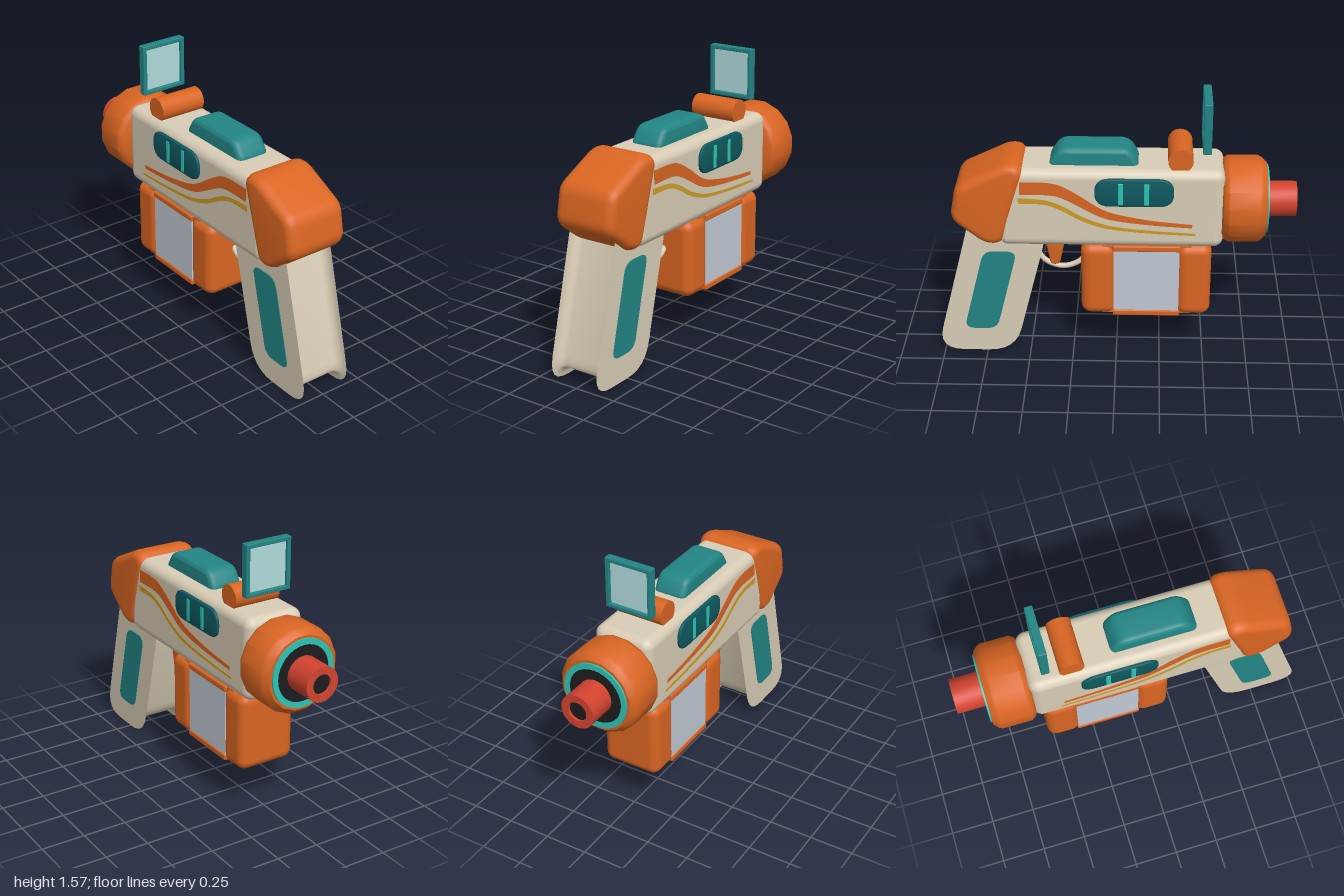
import * as THREE from 'three';
import { toCreasedNormals } from 'three/addons/utils/BufferGeometryUtils.js';
import { RoundedBoxGeometry } from 'three/addons/geometries/RoundedBoxGeometry.js';

const mat = (name, color) => {
  const m = new THREE.MeshStandardMaterial({ color });
  m.name = name;
  return m;
};

// Polygon of [z, y] corners, each rounded by r
function roundedShape(pts, r) {
  const s = new THREE.Shape();
  const v = pts.map(p => new THREE.Vector2(...p));
  v.forEach((p, i) => {
    const prev = v[(i + v.length - 1) % v.length], next = v[(i + 1) % v.length];
    const cut = q => p.clone().add(q.clone().sub(p).setLength(Math.min(r, p.distanceTo(q) * 0.45)));
    const a = cut(prev), b = cut(next);
    if (i === 0) s.moveTo(a.x, a.y); else s.lineTo(a.x, a.y);
    s.quadraticCurveTo(p.x, p.y, b.x, b.y);
  });
  return s;
}

// Side profile extruded across x, centred on x = 0
function slab(shape, halfWidth, bevelThickness = 0, bevelSize = 0) {
  const depth = 2 * (halfWidth - bevelThickness);
  const g = new THREE.ExtrudeGeometry(shape, {
    depth, bevelEnabled: bevelThickness > 0, bevelThickness, bevelSize,
    bevelSegments: 5, curveSegments: 6,
  });
  g.translate(0, 0, -depth / 2);
  g.rotateY(-Math.PI / 2);
  return toCreasedNormals(g, 0.7);
}

// Curved stripe from rows of [z, lower y, upper y]
function stripeShape(rows) {
  const edge = k => new THREE.SplineCurve(rows.map(r => new THREE.Vector2(r[0], r[k]))).getPoints(30);
  return new THREE.Shape([...edge(1), ...edge(2).reverse()]);
}

export function createModel() {
  const group = new THREE.Group();
  const cream = mat('cream', 0xd8cdb6), orange = mat('orange', 0xd96522);
  const teal = mat('teal', 0x238585), darkTeal = mat('darkTeal', 0x0e595f);
  const aqua = mat('aqua', 0x2fc4b5), red = mat('red', 0xd2432f);
  const gold = mat('gold', 0xcf9c28), grey = mat('grey', 0xc2cad4);
  const glass = mat('glass', 0xb0dadb), black = mat('black', 0x1d1d1f);

  const add = (name, geo, material, x = 0, y = 0, z = 0) => {
    const m = new THREE.Mesh(geo, material);
    m.name = name;
    m.position.set(x, y, z);
    group.add(m);
    return m;
  };
  const both = (name, geo, material, x, y = 0, z = 0) => {
    add(name + 'Left', geo, material, x, y, z);
    add(name + 'Right', geo, material, -x, y, z);
  };
  const roundBox = (w, h, d, r) => new RoundedBoxGeometry(w, h, d, 4, r);

  // Main body and rear cap
  add('body', roundBox(0.356, 0.475, 1.255, 0.055), cream, 0, 0.9475, 0.0325);
  const cap = [[0.545, 1.165], [0.6, 1.167], [0.848, 1.048], [0.878, 0.89], [0.725, 0.768], [0.668, 0.762]];
  add('rearCap', slab(roundedShape(cap, 0.03), 0.188, 0.06, 0.045), orange);

  // Grip with flared side edges and inlaid panels
  const grip = [[0.79, 0.99], [1.046, 0], [0.588, 0], [0.375, 0.84]];
  add('grip', slab(roundedShape(grip, 0.155), 0.15, 0.05, -0.063), cream);
  const inlay = [[0.75, 0.665], [0.56, 0.665], [0.69, 0.152], [0.88, 0.152]];
  both('gripPanel', slab(roundedShape(inlay, 0.06), 0.003), teal, 0.151);

  // Trigger and guard
  const trigger = [[0.41, 0.75], [0.37, 0.535], [0.335, 0.535], [0.29, 0.75]];
  add('trigger', slab(roundedShape(trigger, 0.015), 0.05, 0.012, 0.01), orange);
  const guard = new THREE.CatmullRomCurve3(
    [[0.47, 0.68], [0.45, 0.58], [0.4, 0.52], [0.31, 0.49], [0.22, 0.52], [0.17, 0.58], [0.15, 0.68]]
      .map(([z, y]) => new THREE.Vector3(0, y, z)));
  add('triggerGuard', new THREE.TubeGeometry(guard, 32, 0.016, 10), cream);

  // Power pack: two rounded blocks around a recessed panel
  add('packRear', roundBox(0.35, 0.455, 0.195, 0.055), orange, 0, 0.4925, 0.1025);
  add('packFront', roundBox(0.35, 0.455, 0.195, 0.055), orange, 0, 0.4925, -0.4375);
  add('packCore', new THREE.BoxGeometry(0.31, 0.44, 0.5), orange, 0, 0.495, -0.17);
  add('packLowerLedge', roundBox(0.34, 0.035, 0.38, 0.008), orange, 0, 0.28, -0.17);
  add('packUpperLedge', roundBox(0.34, 0.035, 0.38, 0.008), orange, 0, 0.7, -0.17);
  both('packPanel', new THREE.BoxGeometry(0.009, 0.39, 0.37), grey, 0.159, 0.49, -0.17);

  // Muzzle: rounded collar, rim, dark face and barrel
  const lathe = (pts, n, start = 0) => {
    const g = new THREE.LatheGeometry(pts.map(p => new THREE.Vector2(...p)), n, start);
    g.rotateX(-Math.PI / 2);
    return toCreasedNormals(g, 0.6);
  };
  const cy = 0.945;
  add('muzzleCollar', lathe([[0, 0.585], [0.215, 0.585], [0.23, 0.595], [0.245, 0.62],
    [0.245, 0.785], [0.235, 0.805], [0.21, 0.83], [0, 0.83]], 16, Math.PI / 16), orange, 0, cy);
  add('muzzleRim', lathe([[0.193, 0.82], [0.193, 0.84], [0.16, 0.84], [0.16, 0.82]], 32), aqua, 0, cy);
  add('muzzleFace', lathe([[0.165, 0.82], [0.165, 0.836], [0, 0.836]], 32), black, 0, cy);
  add('barrel', lathe([[0.099, 0.82], [0.099, 1], [0.056, 1], [0.056, 0.96]], 24), red, 0, cy);
  add('barrelBore', lathe([[0.058, 0.97], [0.058, 0.985], [0, 0.985]], 24), black, 0, cy);

  // Top rail, sight hinge and sight
  const rail = [[0.35, 1.17], [0.295, 1.252], [-0.052, 1.252], [-0.1, 1.17]];
  add('topRail', slab(roundedShape(rail, 0.03), 0.097, 0.035, 0.03), teal);
  const hinge = toCreasedNormals(new THREE.CylinderGeometry(0.069, 0.069, 0.28, 24), 0.6);
  hinge.rotateZ(Math.PI / 2);
  add('sightHinge', hinge, orange, 0, 1.233, -0.35);
  both('sightFrameSide', roundBox(0.024, 0.295, 0.046, 0.005), teal, 0.128, 1.4225, -0.492);
  for (const [name, y] of [['sightFrameTop', 1.558], ['sightFrameBottom', 1.287]])
    add(name, roundBox(0.28, 0.024, 0.046, 0.005), teal, 0, y, -0.492);
  add('sightGlass', new THREE.BoxGeometry(0.24, 0.256, 0.012), glass, 0, 1.4225, -0.492);

  // Side vents with glowing bars
  const vent = [[0.11, 0.988], [0.11, 1.137], [-0.307, 1.137], [-0.307, 0.988]];
  both('sideVent', slab(roundedShape(vent, 0.075), 0.012, 0.008, 0.009), darkTeal, 0.181);
  for (const [name, z] of [['rearVentBar', -0.024], ['frontVentBar', -0.166]])
    both(name, roundBox(0.008, 0.13, 0.028, 0.0035), aqua, 0.1925, 1.057, z);

  // Painted stripes
  const upper = [[0.53, 1.04, 1.117], [0.4, 1.042, 1.117], [0.31, 1.028, 1.1], [0.2, 0.97, 1.037],
    [0.1, 0.915, 0.968], [0, 0.885, 0.927], [-0.2, 0.86, 0.888], [-0.42, 0.845, 0.866]];
  const lower = [[0.54, 0.985, 1.02], [0.4, 0.983, 1.01], [0.3, 0.945, 0.975], [0.2, 0.888, 0.915],
    [0.1, 0.848, 0.872], [0, 0.827, 0.847], [-0.2, 0.808, 0.825], [-0.44, 0.797, 0.81]];
  both('upperStripe', slab(stripeShape(upper), 0.003), orange, 0.178);
  both('lowerStripe', slab(stripeShape(lower), 0.003), gold, 0.178);

  return group;
}
